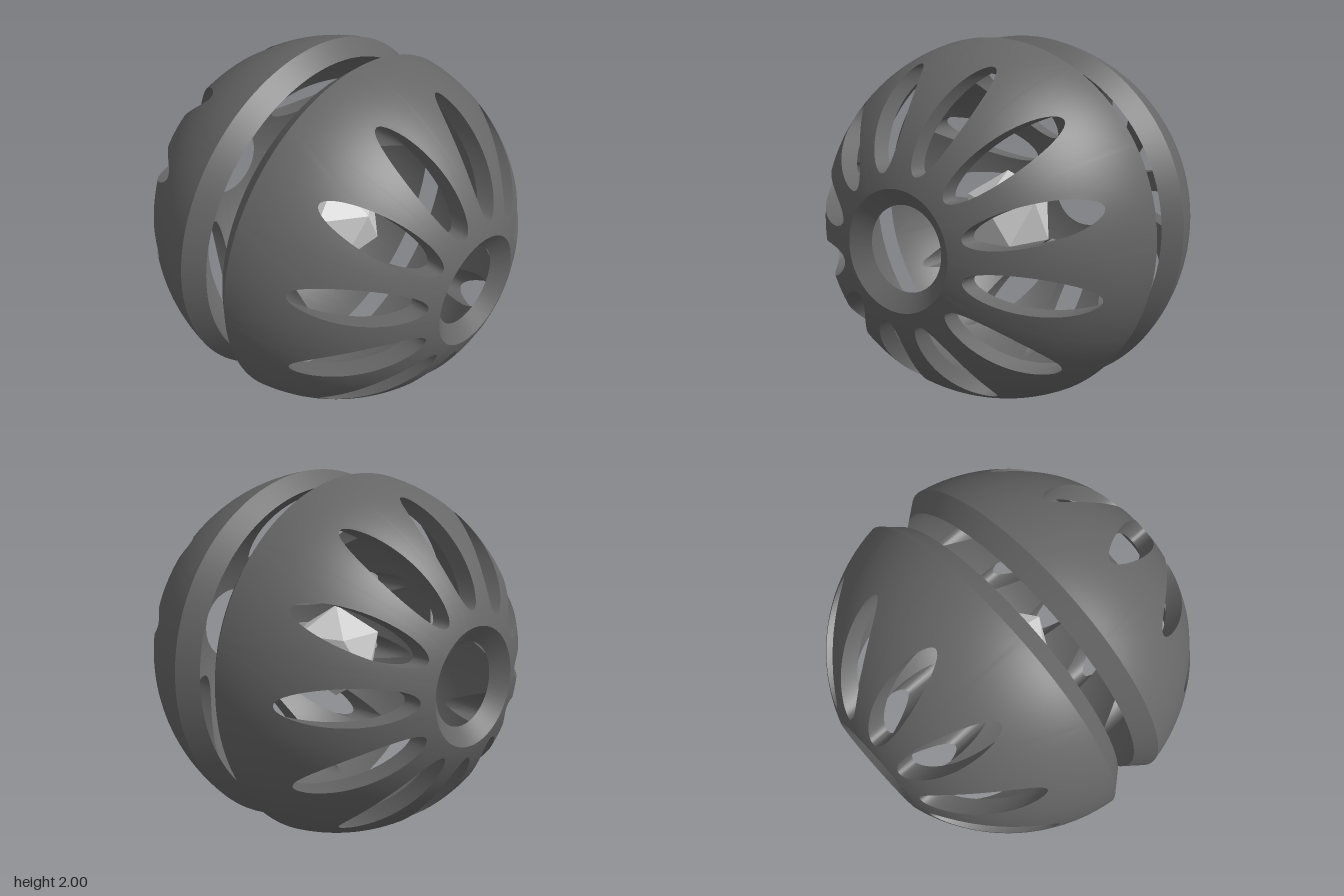
import * as THREE from 'three';
import { toCreasedNormals } from 'three/addons/utils/BufferGeometryUtils.js';

const SECTORS = 12, SIDE = 16, RINGS = 8;
const HALF = Math.PI / SECTORS;

// Each skin is a sphere band around the x axis, from the end hole to the rim.
const OUTER = { R: 1.0127, a0: Math.asin(0.31 / 1.0127), a1: Math.acos(0.16 / 1.0127) };
const INNER = { R: 0.922, a0: Math.asin(0.22 / 0.922), a1: Math.acos(0.06 / 0.922) };

// Perimeter of the square [-1, 1]^2, counter-clockwise.
function squareLoop() {
  const pts = [];
  for (let s = 0; s < 4; s++) {
    for (let i = 0; i < SIDE; i++) {
      const t = -1 + (2 * i) / SIDE;
      pts.push([[t, -1], [1, t], [-t, 1], [-1, -t]][s]);
    }
  }
  return pts;
}

// Egg-shaped slot cut parallel to the x axis: [radial, sideways].
function slotPoint([p, q]) {
  const t = Math.atan2(q, p);
  return [0.643 + 0.257 * Math.cos(t), 0.097 * Math.sin(t) * (1 + 0.12 * Math.cos(t))];
}

// Rings of points from the slot edge out to the sector border.
function sectorRings(skin, loop, turn) {
  const rings = [];
  for (let j = 0; j <= RINGS; j++) {
    const f = j / RINGS;
    rings.push(loop.map((c) => {
      const [r, w] = slotPoint(c);
      const edgeA = (skin.a0 + skin.a1) / 2 + (c[0] * (skin.a1 - skin.a0)) / 2;
      const a = THREE.MathUtils.lerp(Math.asin(Math.hypot(r, w) / skin.R), edgeA, f);
      const phi = THREE.MathUtils.lerp(Math.atan2(w, r), c[1] * HALF, f) + turn;
      return [
        skin.R * Math.cos(a),
        skin.R * Math.sin(a) * Math.cos(phi),
        skin.R * Math.sin(a) * Math.sin(phi),
      ];
    }));
  }
  return rings;
}

function shellGeometry() {
  const pos = [];
  const quad = (a, b, c, d) => pos.push(...a, ...b, ...c, ...a, ...c, ...d);
  const loop = squareLoop();
  const n = loop.length;
  for (let s = 0; s < SECTORS; s++) {
    const turn = (2 * s + 1) * HALF;
    const out = sectorRings(OUTER, loop, turn);
    const inn = sectorRings(INNER, loop, turn);
    for (let k = 0; k < n; k++) {
      const m = (k + 1) % n;
      for (let j = 0; j < RINGS; j++) {
        quad(out[j][k], out[j + 1][k], out[j + 1][m], out[j][m]);
        quad(inn[j][k], inn[j][m], inn[j + 1][m], inn[j + 1][k]);
      }
      // slot wall
      quad(out[0][k], out[0][m], inn[0][m], inn[0][k]);
      // bevelled rim and bevelled end hole
      if (loop[k][0] === loop[m][0] && Math.abs(loop[k][0]) === 1) {
        quad(out[RINGS][m], out[RINGS][k], inn[RINGS][k], inn[RINGS][m]);
      }
    }
  }
  const geo = new THREE.BufferGeometry();
  geo.setAttribute('position', new THREE.Float32BufferAttribute(pos, 3));
  return toCreasedNormals(geo, 0.55);
}

// Icosahedron standing on a vertex, with an upper-ring vertex towards +x.
function coreGeometry(R) {
  const h = R / Math.sqrt(5), r = 2 * h, pos = [];
  const ring = (i, up) => {
    const t = ((2 * i + (up ? 0 : 1)) * Math.PI) / 5;
    return [r * Math.cos(t), up ? h : -h, r * Math.sin(t)];
  };
  for (let i = 0; i < 5; i++) {
    const u = ring(i, true), u2 = ring(i + 1, true);
    const d = ring(i, false), d2 = ring(i + 1, false);
    pos.push(0, R, 0, ...u2, ...u);
    pos.push(...u, ...u2, ...d);
    pos.push(...u2, ...d2, ...d);
    pos.push(0, -R, 0, ...d, ...d2);
  }
  const geo = new THREE.BufferGeometry();
  geo.setAttribute('position', new THREE.Float32BufferAttribute(pos, 3));
  geo.computeVertexNormals();
  return geo;
}

export function createModel() {
  const group = new THREE.Group();
  group.name = 'slottedSphere';

  const shellMat = new THREE.MeshStandardMaterial({ color: 0x666666 });
  const geo = shellGeometry();

  // two facing half shells, the slots of the second offset by half a step
  const left = new THREE.Mesh(geo, shellMat);
  left.name = 'leftShell';
  const right = new THREE.Mesh(geo, shellMat);
  right.name = 'rightShell';
  right.rotation.set(HALF, Math.PI, 0);

  // faceted core
  const core = new THREE.Mesh(
    coreGeometry(0.265),
    new THREE.MeshStandardMaterial({ color: 0xcccccc, flatShading: true })
  );
  core.name = 'core';

  for (const part of [left, right, core]) {
    part.position.y = 1;
    group.add(part);
  }
  return group;
}
